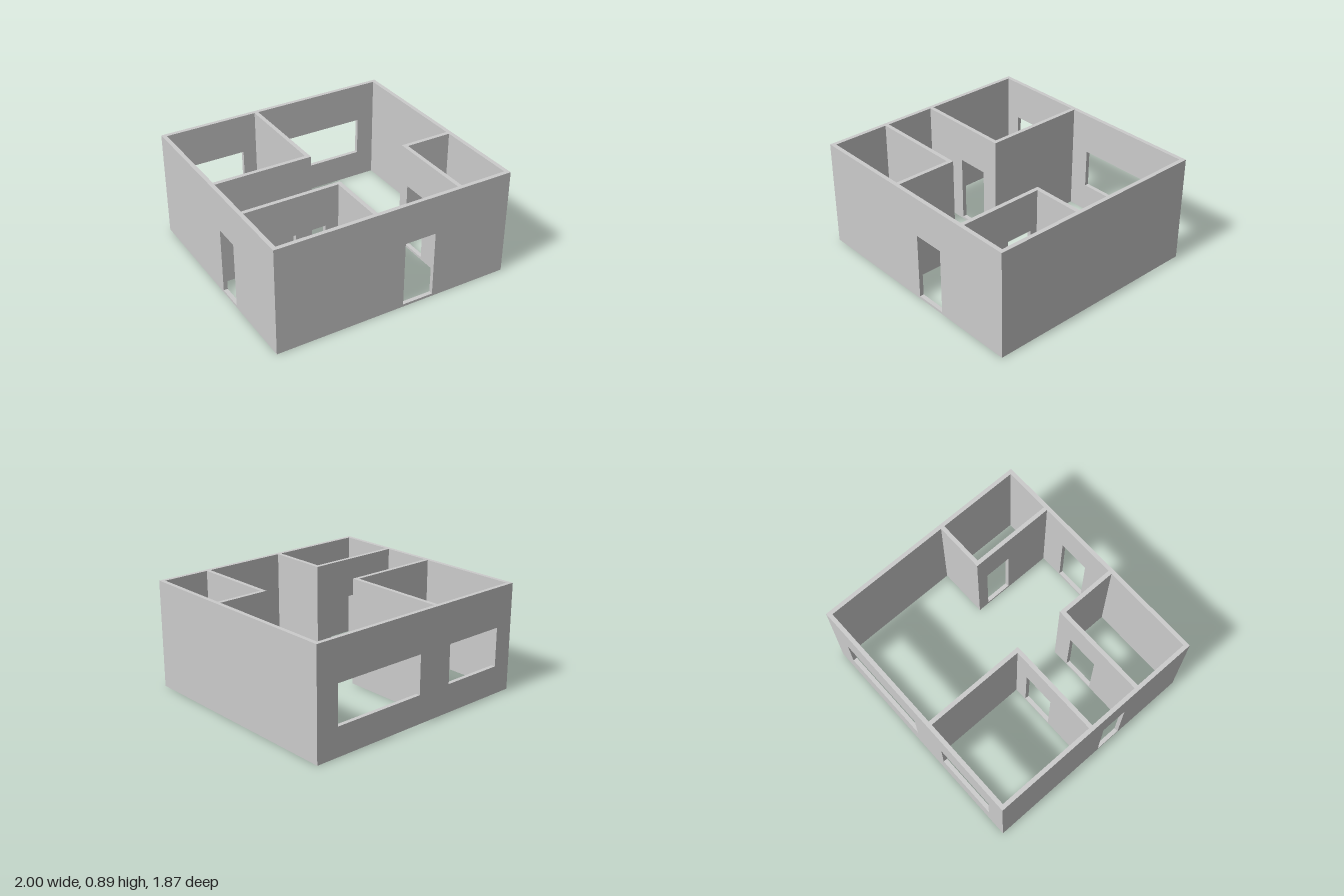
import * as THREE from 'three';

const H = 0.887;              // wall height
const T = 0.034;              // wall thickness
const X = 1, Z = 0.933;       // outer half sizes
const DOOR = [0.02, 0.565];   // bottom and top of door openings
const WINDOW = [0.235, 0.557];

const material = new THREE.MeshStandardMaterial({ color: 0xcccccc, flatShading: true });

// Upright slab running from a to b with rectangular openings [from, to, [bottom, top]].
function slab(a, b, openings) {
  const rect = (path, u0, u1, v0, v1) =>
    path.moveTo(u0, v0).lineTo(u1, v0).lineTo(u1, v1).lineTo(u0, v1).closePath();
  const shape = rect(new THREE.Shape(), a, b, 0, H);
  for (const [u0, u1, [v0, v1]] of openings) {
    shape.holes.push(rect(new THREE.Path(), u0, u1, v0, v1));
  }
  return new THREE.ExtrudeGeometry(shape, { depth: T, bevelEnabled: false });
}

export function createModel() {
  const house = new THREE.Group();
  house.name = 'housePlan';

  const add = (name, geometry) => {
    const mesh = new THREE.Mesh(geometry, material);
    mesh.name = name;
    house.add(mesh);
  };

  // Wall along x, occupying z .. z + T
  const wallX = (name, x0, x1, z, openings = []) =>
    add(name, slab(x0, x1, openings).translate(0, 0, z));

  // Wall along z, occupying x .. x + T (openings given in z)
  const wallZ = (name, z0, z1, x, openings = []) => {
    const flipped = openings.map(([a, b, v]) => [-b, -a, v]);
    add(name, slab(-z1, -z0, flipped).rotateY(Math.PI / 2).translate(x, 0, 0));
  };

  // Outer walls
  wallX('frontWall', -X, X, Z - T, [[0.073, 0.337, DOOR]]);
  wallX('backWall', -X, X, -Z, [[0.005, 0.812, WINDOW], [-0.84, -0.307, WINDOW]]);
  wallZ('leftWall', -Z + T, Z - T, X - T);
  wallZ('rightWall', -Z + T, Z - T, -X, [[0.085, 0.305, DOOR]]);

  // Back right room
  wallZ('backRoomSideWall', -Z + T, -0.031, -0.19);
  wallX('backRoomFrontWall', -X + T, -0.19, -0.031 - T, [[-0.57, -0.3, DOOR]]);

  // Front right room
  wallZ('frontRoomSideWall', 0.393, Z - T, -0.19);
  wallX('frontRoomBackWall', -X + T, -0.19, 0.393, [[-0.57, -0.3, DOOR]]);

  // Small front left room
  wallZ('smallRoomSideWall', 0.175, Z - T, 0.54, [[0.27, 0.495, DOOR]]);
  wallX('smallRoomBackWall', 0.54 + T, X - T, 0.175);

  return house;
}
